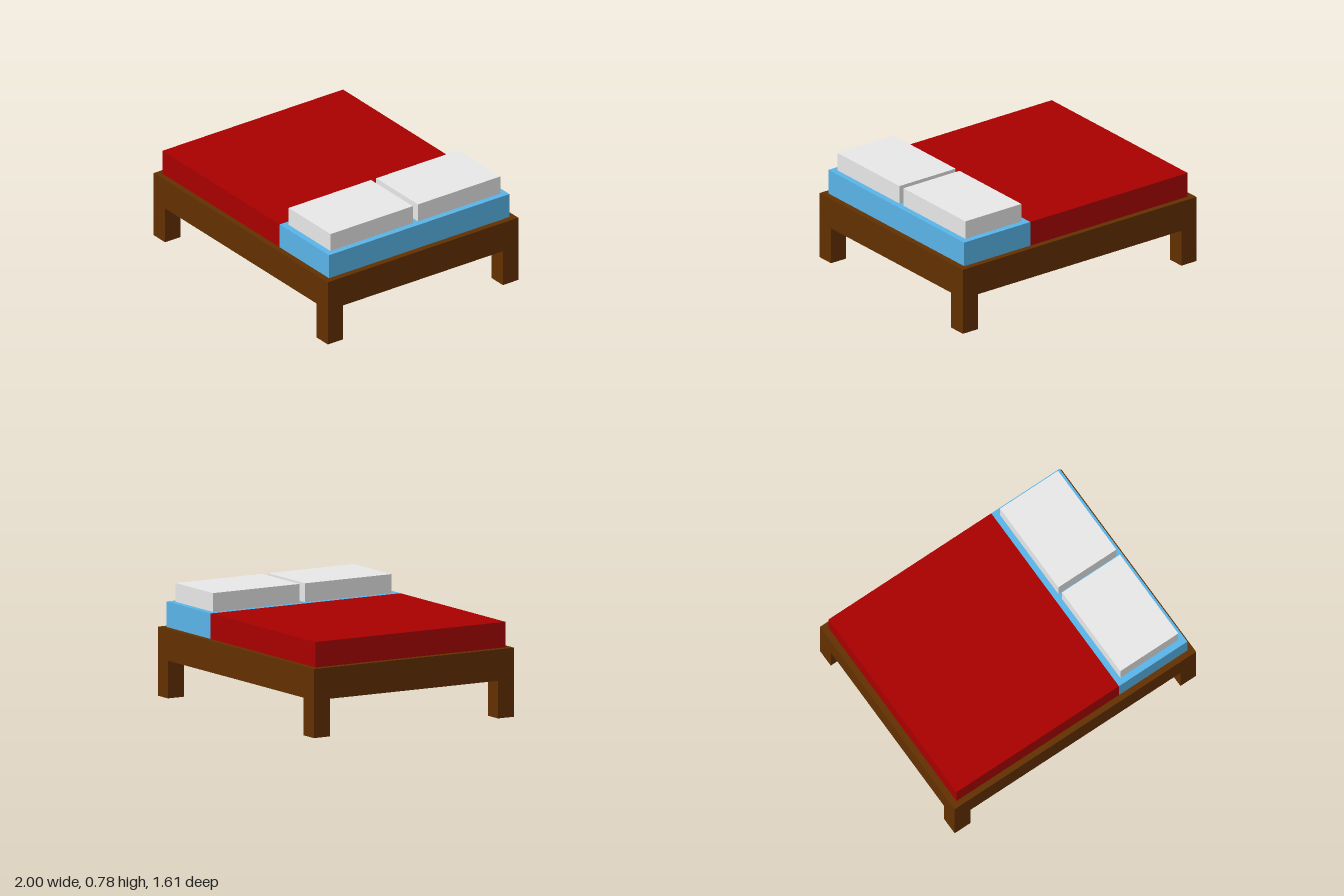
import * as THREE from 'three';

function material(name, color) {
  const m = new THREE.MeshStandardMaterial({ color });
  m.name = name;
  return m;
}

export function createModel() {
  const wood = material('brown wood', 0x623000);
  const red = material('red blanket', 0xa80000);
  const blue = material('blue sheet', 0x5ab6ea);
  const grey = material('pale grey pillow', 0xe9e9e9);

  const bed = new THREE.Group();
  bed.name = 'bed';

  // Adds a box given its extent along each axis
  function box(name, mat, [x0, x1], [y0, y1], [z0, z1]) {
    const mesh = new THREE.Mesh(new THREE.BoxGeometry(x1 - x0, y1 - y0, z1 - z0), mat);
    mesh.position.set((x0 + x1) / 2, (y0 + y1) / 2, (z0 + z1) / 2);
    mesh.name = name;
    bed.add(mesh);
    return mesh;
  }

  const halfDepth = 0.804, leg = 0.13;
  const frameBottom = 0.26, frameTop = 0.477, mattressTop = 0.653, pillowTop = 0.783;

  // Solid bed base
  box('frame', wood, [-1, 1], [frameBottom, frameTop], [-halfDepth, halfDepth]);

  // Square corner legs
  for (const sx of [-1, 1]) {
    for (const sz of [-1, 1]) {
      const legMesh = box('leg', wood, [-leg / 2, leg / 2], [0, frameBottom], [-leg / 2, leg / 2]);
      legMesh.position.x = sx * (1 - leg / 2);
      legMesh.position.z = sz * (halfDepth - leg / 2);
    }
  }

  // Mattress: covered by the blanket, with the bare sheet at the head end
  box('blanket', red, [-0.956, 0.39], [frameTop, mattressTop], [-0.762, 0.762]);
  box('sheet', blue, [0.39, 0.956], [frameTop, mattressTop], [-0.762, 0.762]);

  // Two pillows side by side
  for (const [z0, z1] of [[-0.717, -0.022], [0.022, 0.717]]) {
    box('pillow', grey, [0.432, 0.912], [mattressTop, pillowTop], [z0, z1]);
  }

  return bed;
}
